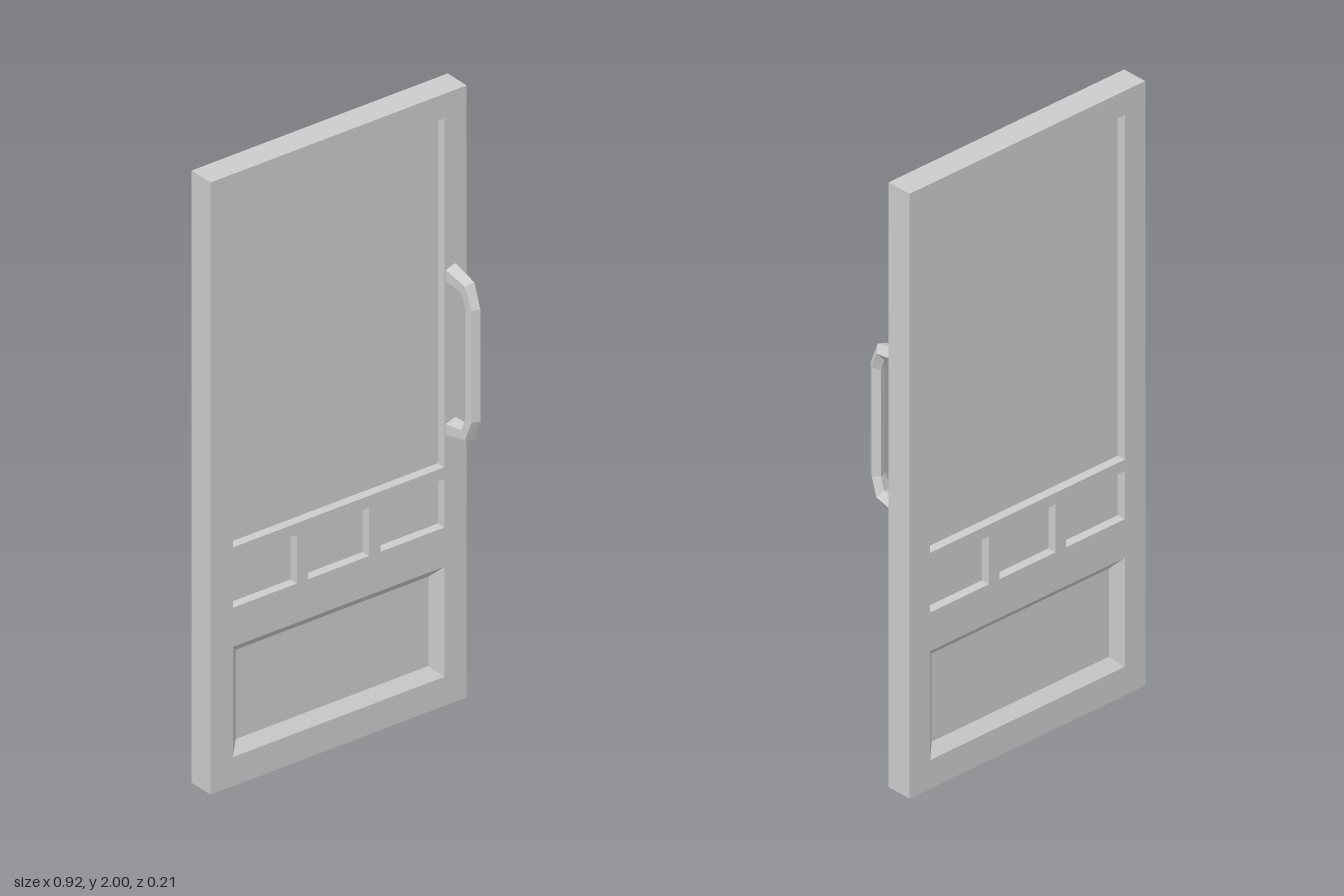
import * as THREE from 'three';

const material = new THREE.MeshStandardMaterial({ color: 0xcccccc, flatShading: true });
const FRONT = -0.017, BACK = -0.105, MID = (FRONT + BACK) / 2;

function addMesh(parent, name, geometry) {
  const mesh = new THREE.Mesh(geometry, material);
  mesh.name = name;
  parent.add(mesh);
  return mesh;
}

// Counter-clockwise corners of a rectangle
const corners = (x0, x1, y0, y1) => [[x0, y0], [x1, y0], [x1, y1], [x0, y1]].map(([x, y]) => new THREE.Vector2(x, y));

// Closed, faceted skin through a list of rings, capped at both ends
function loft(rings) {
  const pos = [];
  const tri = (...pts) => pts.forEach((p) => pos.push(p.x, p.y, p.z));
  const n = rings[0].length;
  for (let i = 0; i < rings.length - 1; i++) {
    for (let j = 0; j < n; j++) {
      const k = (j + 1) % n;
      const a = rings[i][j], b = rings[i][k], c = rings[i + 1][k], d = rings[i + 1][j];
      tri(a, b, c);
      tri(a, c, d);
    }
  }
  const first = rings[0], last = rings[rings.length - 1];
  for (let j = 1; j < n - 1; j++) {
    tri(first[0], first[j + 1], first[j]);
    tri(last[0], last[j], last[j + 1]);
  }
  const geometry = new THREE.BufferGeometry();
  geometry.setAttribute('position', new THREE.Float32BufferAttribute(pos, 3));
  geometry.computeVertexNormals();
  return geometry;
}

export function createModel() {
  const door = new THREE.Group();
  door.name = 'door';

  // Openings as x0, x1, y0, y1
  const panes = [
    ['largePane', -0.38, 0.38, 0.78, 1.92],
    ['smallPaneRight', -0.38, -0.15, 0.583, 0.742],
    ['smallPaneMiddle', -0.11, 0.11, 0.583, 0.742],
    ['smallPaneLeft', 0.15, 0.38, 0.583, 0.742],
  ];
  const panelRect = [-0.38, 0.38, 0.095, 0.455];

  // Frame: one slab with all openings cut through
  const outline = new THREE.Shape(corners(-0.46, 0.46, 0, 2));
  for (const rect of [...panes.map((p) => p.slice(1)), panelRect]) {
    outline.holes.push(new THREE.Path(corners(...rect)));
  }
  const frame = addMesh(door, 'frame', new THREE.ExtrudeGeometry(outline, { depth: FRONT - BACK, bevelEnabled: false }));
  frame.position.z = BACK;

  // Panes, recessed on both faces
  const recess = 0.03;
  for (const [name, x0, x1, y0, y1] of panes) {
    const pane = addMesh(door, name, new THREE.BoxGeometry(x1 - x0, y1 - y0, FRONT - BACK - 2 * recess));
    pane.position.set((x0 + x1) / 2, (y0 + y1) / 2, MID);
  }

  // Lower panel, dished with sloping borders on both faces
  const panelRing = (inset, z) => {
    const [x0, x1, y0, y1] = panelRect;
    return corners(x0 + inset, x1 - inset, y0 + inset, y1 - inset).map((p) => new THREE.Vector3(p.x, p.y, z));
  };
  addMesh(door, 'lowerPanel', loft([
    panelRing(0.034, BACK + recess), panelRing(0, BACK), panelRing(0, FRONT), panelRing(0.034, FRONT - recess),
  ]));

  // Handle: five-sided bar, thicker where it meets the frame; z, y, radius, tangent angle
  const half = [
    [FRONT - 0.003, 0.252, 0.031, 0],
    [0.059, 0.238, 0.026, -0.6],
    [0.081, 0.18, 0.023, -1.4],
  ];
  const path = [...half, ...half.slice().reverse().map(([z, y, r, a]) => [z, -y, r, -Math.PI - a])];
  const rings = path.map(([z, y, r, a]) => Array.from({ length: 5 }, (_, i) => {
    const t = (i / 5) * Math.PI * 2, out = r * Math.sin(t);
    return new THREE.Vector3(0.41 + r * Math.cos(t), 1.153 + y + out * Math.cos(a), z - out * Math.sin(a));
  }));
  addMesh(door, 'handle', loft(rings));

  return door;
}
